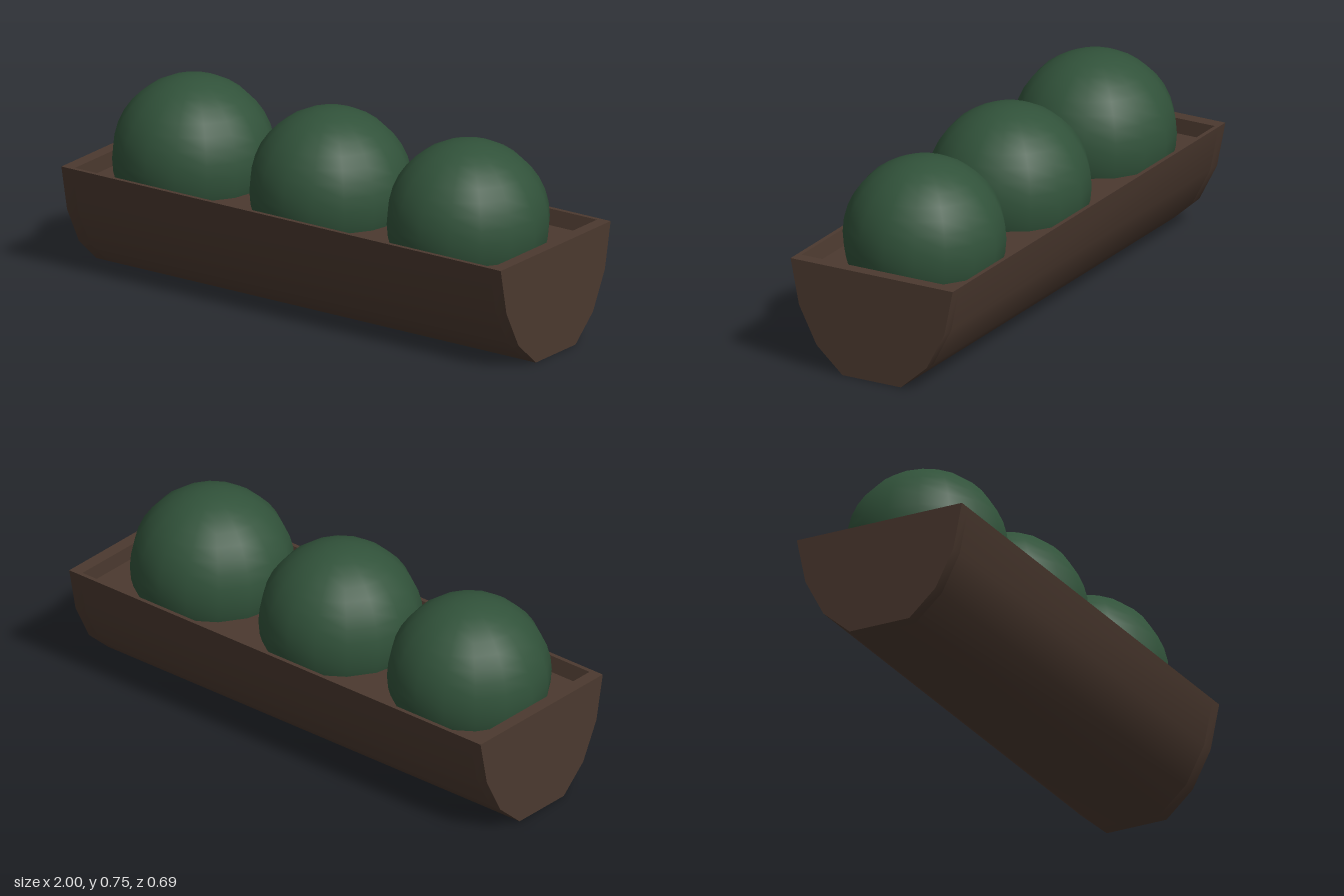
import * as THREE from 'three';
import { toCreasedNormals } from 'three/addons/utils/BufferGeometryUtils.js';

const LENGTH = 2, END = 0.05, RIM = 0.42, SOIL = 0.36;

// Outer half cross-section of the trough, bottom to rim: [z, y]
const SIDE = [[0.125, 0], [0.235, 0.098], [0.31, 0.243], [0.346, RIM]];

// Extrudes a cross-section along x, centred on x, with smooth curved sides
function extrudeAlongX(points, length) {
  const shape = new THREE.Shape(points.map(([z, y]) => new THREE.Vector2(z, y)));
  const geo = new THREE.ExtrudeGeometry(shape, { depth: length, bevelEnabled: false });
  geo.translate(0, 0, -length / 2);
  geo.rotateY(Math.PI / 2);
  return toCreasedNormals(geo, 0.8);
}

const mirror = (pts) => pts.map(([z, y]) => [-z, y]).reverse();

export function createModel() {
  const group = new THREE.Group();
  const wood = new THREE.MeshStandardMaterial({ color: 0x4b392f });
  const leaf = new THREE.MeshStandardMaterial({ color: 0x31523a });

  const add = (name, geo, mat, x = 0, y = 0, z = 0) => {
    const mesh = new THREE.Mesh(geo, mat);
    mesh.name = name;
    mesh.position.set(x, y, z);
    group.add(mesh);
  };

  // Trough body with a shallow recess holding the soil
  const recess = [[0.329, RIM], [0.317, SOIL]];
  add('trough', extrudeAlongX([...SIDE, ...recess, ...mirror(recess), ...mirror(SIDE)], LENGTH - 2 * END), wood);

  // Solid end boards up to the rim
  const endBoard = extrudeAlongX([...SIDE, ...mirror(SIDE)], END);
  for (const s of [-1, 1]) add(s > 0 ? 'leftEnd' : 'rightEnd', endBoard, wood, s * (LENGTH - END) / 2);

  // Row of round clipped bushes
  const bush = new THREE.SphereGeometry(0.305, 16, 18);
  [-0.645, -0.02, 0.605].forEach((x, i) => add(`bush${i + 1}`, bush, leaf, x, 0.445, 0.004));

  return group;
}
